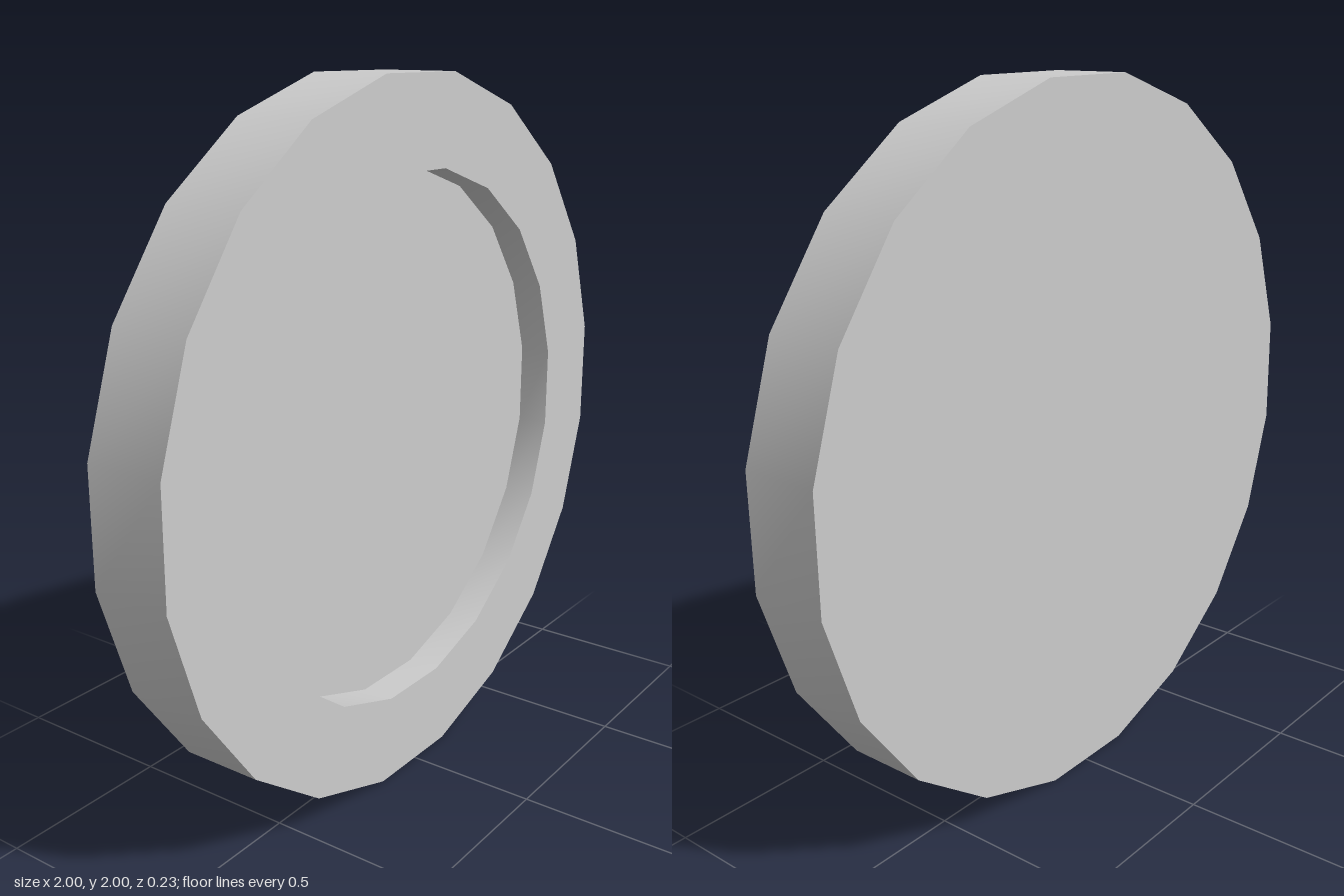
import * as THREE from 'three';
import { toCreasedNormals } from 'three/addons/utils/BufferGeometryUtils.js';

const SIDES = 20;
const TURN = THREE.MathUtils.degToRad(8.5);
const OUTER = 1.01, INNER = 0.755; // corner radii of rim and recess
const HALF = 0.115, FLOOR = 0.02; // half thickness and recess floor, along z

export function createModel() {
  const group = new THREE.Group();
  group.name = 'recessedDisc';
  const material = new THREE.MeshStandardMaterial({ color: 0xcccccc });

  // Turns a (radius, z) profile about the z axis, keeping right angles sharp
  const addTurned = (name, profile) => {
    const points = profile.map(([r, z]) => new THREE.Vector2(r, z));
    const lathe = new THREE.LatheGeometry(points, SIDES, TURN).rotateX(Math.PI / 2);
    const mesh = new THREE.Mesh(toCreasedNormals(lathe, Math.PI / 6), material);
    mesh.name = name;
    mesh.position.y = 1;
    group.add(mesh);
  };

  // Outer side, front lip and wall of the recess
  addTurned('rim', [[OUTER, -HALF], [OUTER, HALF], [INNER, HALF], [INNER, FLOOR]]);
  // Sunken front face
  addTurned('recessFloor', [[INNER, FLOOR], [0, FLOOR]]);
  // Flat back face
  addTurned('back', [[0, -HALF], [OUTER, -HALF]]);

  return group;
}
